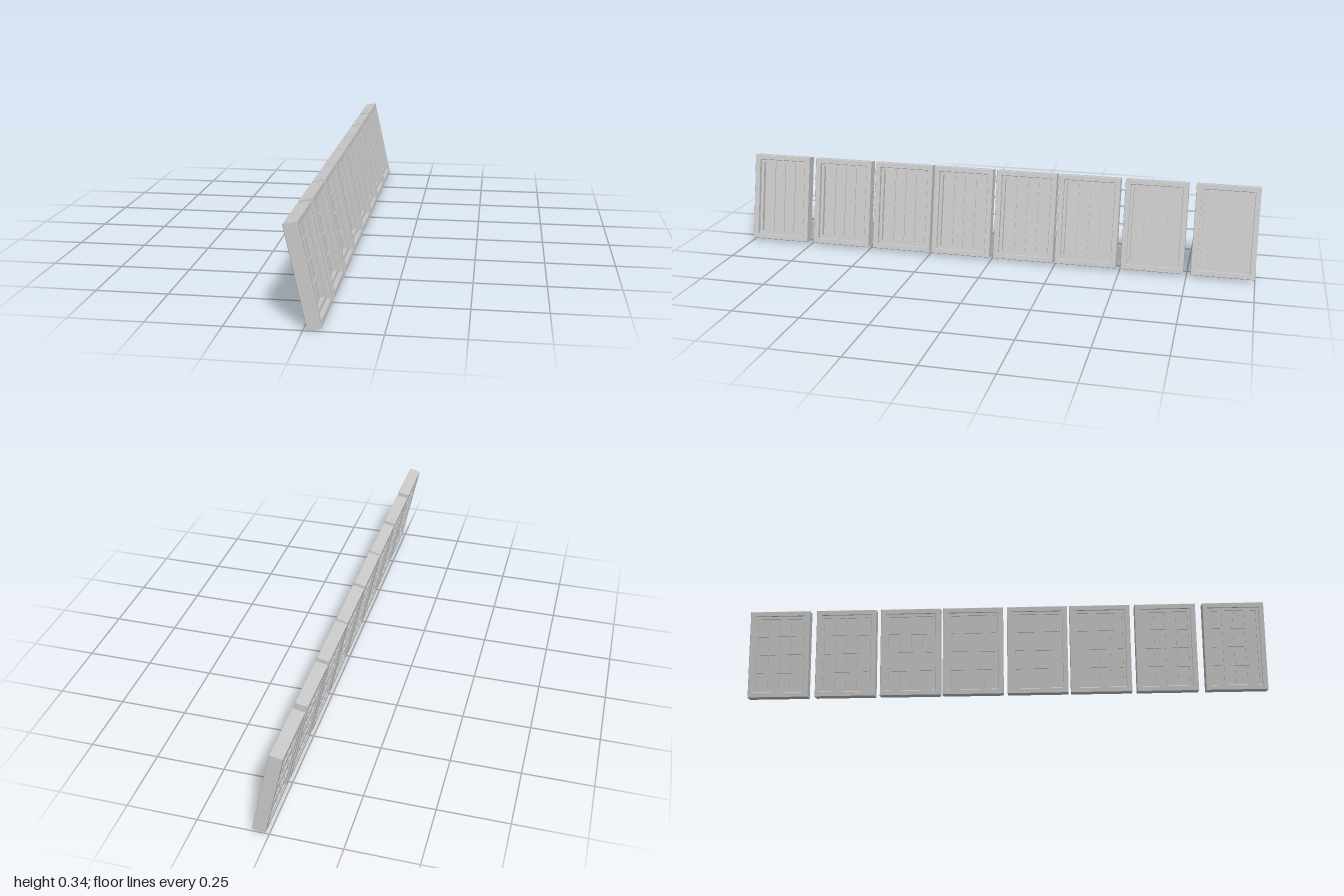
import * as THREE from 'three';

const W = 0.234, H = 0.343, T = 0.046; // panel width, height, thickness
const material = new THREE.MeshStandardMaterial({ color: 0xcccccc, flatShading: true });

function rect(target, w, h) {
  target.moveTo(-w / 2, -h / 2);
  target.lineTo(w / 2, -h / 2);
  target.lineTo(w / 2, h / 2);
  target.lineTo(-w / 2, h / 2);
  target.closePath();
  return target;
}

// Rectangular ring, facing +x, centred at the given depth
function ring(name, w, h, border, depth, x, bevel) {
  const shape = rect(new THREE.Shape(), w - 2 * bevel, h - 2 * bevel);
  shape.holes.push(rect(new THREE.Path(), w - 2 * border + 2 * bevel, h - 2 * border + 2 * bevel));
  const geometry = new THREE.ExtrudeGeometry(shape, {
    depth: depth - 2 * bevel, bevelEnabled: bevel > 0,
    bevelSize: bevel, bevelThickness: bevel, bevelSegments: 1,
  });
  geometry.center().rotateY(Math.PI / 2);
  const mesh = new THREE.Mesh(geometry, material);
  mesh.name = name;
  mesh.position.x = x;
  return mesh;
}

function box(name, sx, sy, sz, x, y, z) {
  const mesh = new THREE.Mesh(new THREE.BoxGeometry(sx, sy, sz), material);
  mesh.name = name;
  mesh.position.set(x, y, z);
  return mesh;
}

function makePanel() {
  const panel = new THREE.Group();
  panel.name = 'windowPanel';
  // Outer frame with a narrower sash set inside it
  panel.add(ring('outerFrame', W, H, 0.02, T, 0, 0.0015));
  panel.add(ring('innerSash', W - 0.038, H - 0.038, 0.012, 0.026, -0.0065, 0));
  // Pane near the back, with glazing bars on both faces
  panel.add(box('pane', 0.004, H - 0.05, W - 0.05, -0.012, 0, 0));
  for (let i = -1; i <= 1; i++) {
    panel.add(box('verticalBar', 0.013, H - 0.05, 0.004, -0.0115, 0, i * 0.043));
    panel.add(box('horizontalBar', 0.015, 0.005, W - 0.05, -0.0115, i * 0.073, 0));
  }
  return panel;
}

export function createModel() {
  const model = new THREE.Group();
  model.name = 'windowRow';
  // Row of leaning panels, mirrored about the middle
  for (const z of [0.125, 0.368, 0.621, 0.883]) {
    for (const side of [-1, 1]) {
      const panel = makePanel();
      panel.position.set(0, 0.1725, side * z);
      panel.rotation.z = THREE.MathUtils.degToRad(12.2);
      model.add(panel);
    }
  }
  return model;
}
